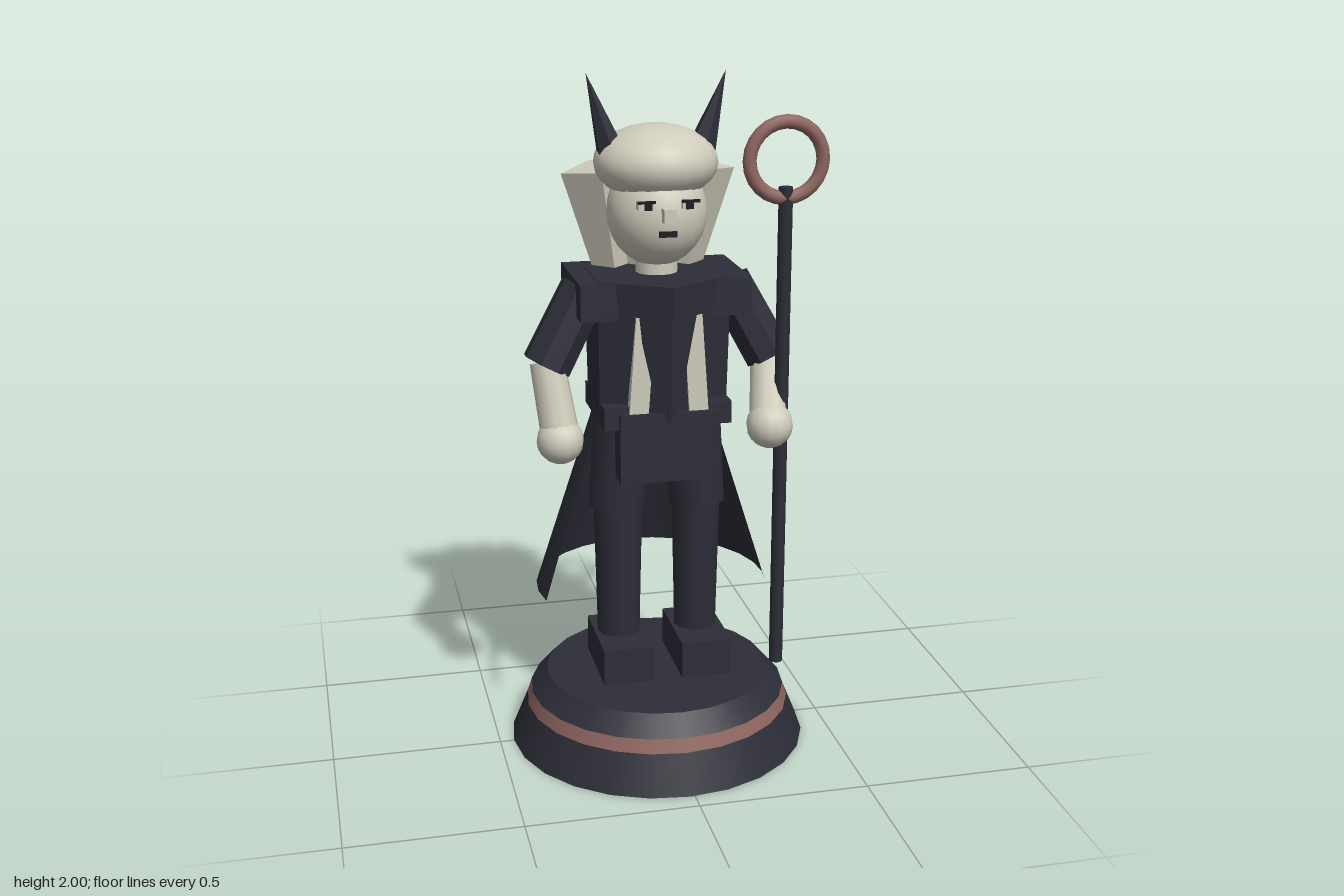
import * as THREE from 'three';

const mat = (name, color) => {
  const m = new THREE.MeshStandardMaterial({ color });
  m.name = name;
  return m;
};

export function createModel() {
  const dark = mat('charcoal', 0x2c2d37);
  const bone = mat('bone', 0xcfccbc);
  const copper = mat('copper', 0x8f6660);
  const black = mat('black', 0x17181e);
  const capeMat = mat('capeCharcoal', 0x2c2d37);
  capeMat.side = THREE.DoubleSide;

  const root = new THREE.Group();
  root.name = 'figurine';
  const model = new THREE.Group();
  model.name = 'figure';
  model.position.x = -0.013;
  root.add(model);

  const add = (name, geo, material, x = 0, y = 0, z = 0) => {
    const m = new THREE.Mesh(geo, material);
    m.name = name;
    m.position.set(x, y, z);
    model.add(m);
    return m;
  };
  const box = (name, w, h, d, material, x, y, z) =>
    add(name, new THREE.BoxGeometry(w, h, d), material, x, y, z);
  const facet = (geo) => {
    const g = geo.toNonIndexed();
    g.computeVertexNormals();
    return g;
  };
  // Tapered cylinder from point a to point b
  const limb = (name, a, b, ra, rb, material, sides = 12, flat = false) => {
    const A = new THREE.Vector3(...a), B = new THREE.Vector3(...b);
    const dir = B.clone().sub(A);
    let geo = new THREE.CylinderGeometry(rb, ra, dir.length(), sides);
    if (flat) geo = facet(geo);
    const m = add(name, geo, material);
    m.position.copy(A).add(B).multiplyScalar(0.5);
    m.quaternion.setFromUnitVectors(new THREE.Vector3(0, 1, 0), dir.normalize());
    return m;
  };
  const ball = (name, rx, ry, rz, material, x, y, z, ws = 20, hs = 14) => {
    const geo = new THREE.SphereGeometry(1, ws, hs);
    geo.scale(rx, ry, rz);
    return add(name, geo, material, x, y, z);
  };

  // Stepped round base with a copper band
  const tiers = [
    ['baseFoot', 0.445, 0.398, 0, 0.115, dark],
    ['baseBand', 0.398, 0.385, 0.115, 0.155, copper],
    ['baseTop', 0.385, 0.335, 0.155, 0.212, dark],
  ];
  for (const [name, r0, r1, y0, y1, m] of tiers)
    limb(name, [0, y0, 0], [0, y1, 0], r0, r1, m, 24);

  // Legs, boots, arms, shards and horns on both sides
  for (const s of [-1, 1]) {
    const side = s < 0 ? 'right' : 'left';
    box(side + 'Boot', 0.15, 0.11, 0.265, dark, s * 0.118, 0.287, 0.025);
    limb(side + 'Shin', [s * 0.118, 0.33, 0.003], [s * 0.118, 0.78, 0.005], 0.064, 0.074, dark);
    limb(side + 'Thigh', [s * 0.122, 0.74, 0.005], [s * 0.098, 1.06, 0.005], 0.083, 0.09, dark);

    const handY = s < 0 ? 0.98 : 1.005, handZ = s < 0 ? 0.085 : 0.15;
    const elbow = [s * 0.325, 1.185, s < 0 ? 0.02 : 0.035];
    limb(side + 'Sleeve', [s * 0.21, 1.4, 0], elbow, 0.07, 0.073, dark, 8, true);
    limb(side + 'Forearm', [s * 0.325, 1.2, 0.03], [s * 0.297, handY, handZ], 0.05, 0.056, bone, 10);
    ball(side + 'Hand', 0.068, 0.068, 0.068, bone, s * 0.3, handY, handZ, 14, 10);

    box(side + 'ChestPanel', 0.055, 0.28, 0.03, bone, s * 0.077, 1.205, 0.15).rotation.z = s * 0.07;
    limb(side + 'Horn', [s * 0.113, 1.73, 0], [s * 0.198, 2, 0], 0.052, 0, dark, 6, true);

    // Eyes
    box(side + 'EyeWhite', 0.046, 0.022, 0.03, bone, s * 0.062, 1.655, 0.142);
    box(side + 'Pupil', 0.022, 0.02, 0.006, black, s * 0.058, 1.654, 0.159);
    box(side + 'EyeLid', 0.05, 0.008, 0.006, black, s * 0.062, 1.666, 0.159);

    // Flared hair locks behind the head
    limb(side + 'OuterLock', [s * 0.105, 1.41, -0.115], [s * 0.155, 1.725, -0.105], 0.05, 0.1, bone, 4, true);
    limb(side + 'InnerLock', [s * 0.04, 1.41, -0.145], [s * 0.055, 1.725, -0.135], 0.05, 0.1, bone, 4, true);
  }

  // Six-sided torso, its lower ring flattened front to back
  const torso = new THREE.CylinderGeometry(0.22, 0.214, 0.4, 6);
  const p = torso.attributes.position;
  for (let i = 0; i < p.count; i++) if (p.getY(i) < 0) p.setZ(i, p.getZ(i) * 0.83);
  add('torso', facet(torso), dark, 0, 1.24, 0);
  box('shoulderYoke', 0.49, 0.105, 0.315, dark, 0, 1.385, -0.022);
  box('belt', 0.37, 0.065, 0.295, dark, 0, 1.053, 0.007);
  box('hips', 0.3, 0.17, 0.15, dark, 0, 0.965, 0);
  box('frontFlap', 0.285, 0.205, 0.08, dark, 0, 0.965, 0.133);

  // Open cape: a partial cone around the back, from +x past -z to -x
  const open = 0.26, cape = [], idx = [], n = 16;
  for (let i = 0; i <= n; i++) {
    const a = -open + (i / n) * (Math.PI + 2 * open);
    for (const [r, y, z] of [[0.35, 0.455, -0.08], [0.1, 1.25, -0.065]])
      cape.push(r * Math.cos(a), y, z - r * Math.sin(a));
    if (i < n) {
      const k = i * 2;
      idx.push(k, k + 2, k + 1, k + 2, k + 3, k + 1);
    }
  }
  const capeGeo = new THREE.BufferGeometry();
  capeGeo.setAttribute('position', new THREE.Float32BufferAttribute(cape, 3));
  capeGeo.setIndex(idx);
  capeGeo.computeVertexNormals();
  add('cape', capeGeo, capeMat);

  // Head
  limb('neck', [0, 1.4, 0], [0, 1.52, 0], 0.062, 0.06, bone);
  ball('face', 0.143, 0.155, 0.152, bone, 0, 1.613, 0);
  ball('hairCap', 0.177, 0.107, 0.17, bone, 0, 1.75, -0.01);
  box('nose', 0.036, 0.038, 0.04, bone, 0, 1.628, 0.158);
  box('mouth', 0.05, 0.016, 0.008, black, 0, 1.574, 0.149);

  // Staff with ring
  limb('staff', [0.338, 0.25, 0.135], [0.338, 1.69, 0.135], 0.021, 0.021, dark, 8);
  add('staffRing', new THREE.TorusGeometry(0.106, 0.02, 8, 24), copper, 0.338, 1.765, 0.135);

  return root;
}
